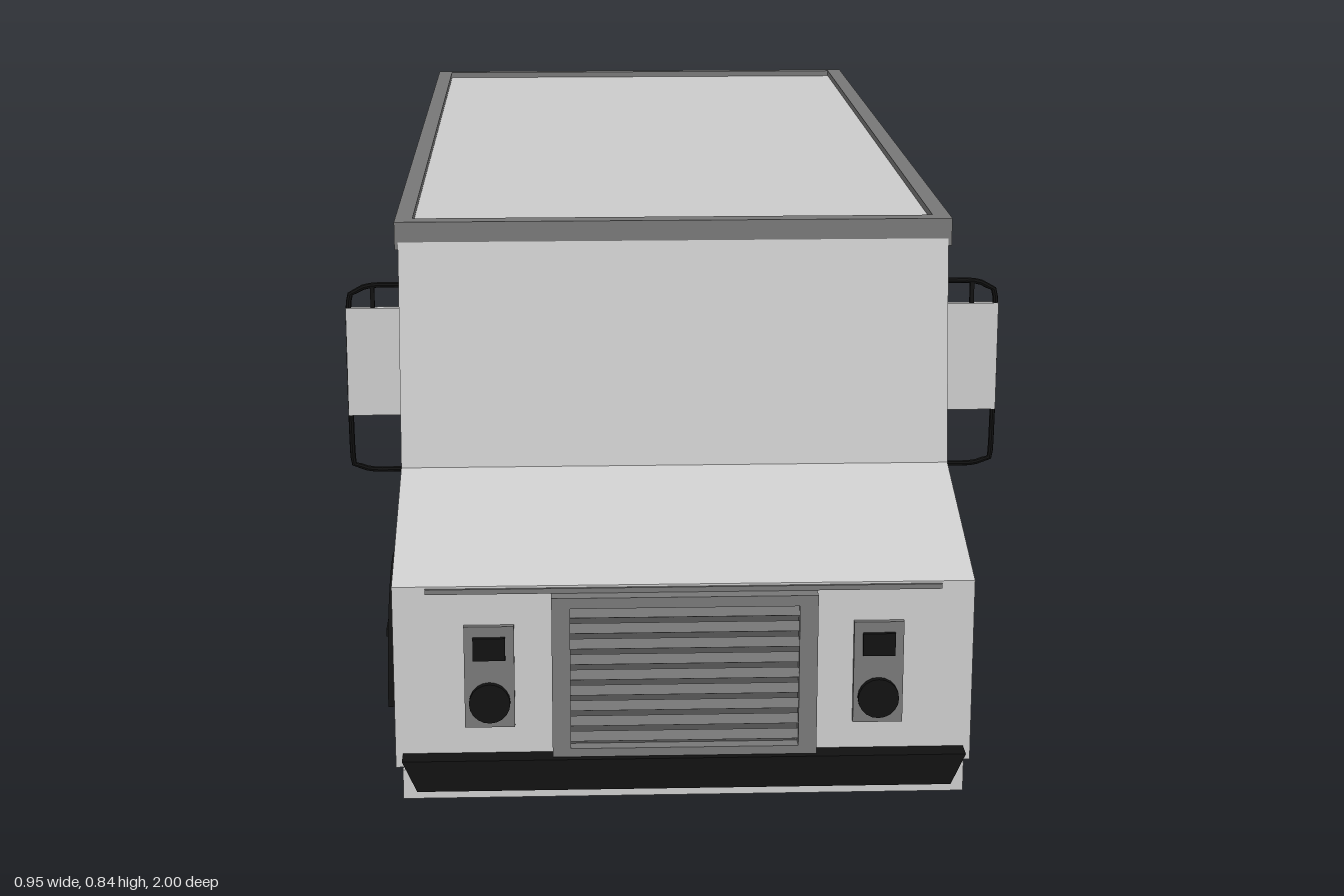
import * as THREE from 'three';

const mat = (color) => new THREE.MeshStandardMaterial({ color, flatShading: true, side: THREE.DoubleSide });
const LIGHT = mat(0xcccccc), MID = mat(0x777777), DOOR = mat(0x888888), DARK = mat(0x555555), BLACK = mat(0x111111);
const AXLES = { front: 0.56, rear: -0.625 };
const WHEEL_Y = 0.137;

export function createModel() {
  const root = new THREE.Group();

  const add = (name, geo, material, parent = root) => {
    const mesh = new THREE.Mesh(geo, material);
    mesh.name = name;
    parent.add(mesh);
    return mesh;
  };
  // box given by its limits on each axis
  const box = (name, x0, x1, y0, y1, z0, z1, material, parent) => {
    const geo = new THREE.BoxGeometry(x1 - x0, y1 - y0, z1 - z0);
    geo.translate((x0 + x1) / 2, (y0 + y1) / 2, (z0 + z1) / 2);
    return add(name, geo, material, parent);
  };
  // side profile (z, y) extruded from x0 to x1
  const sideExtrude = (name, shape, x0, x1, material) => {
    const geo = new THREE.ExtrudeGeometry(shape, { depth: x1 - x0, bevelEnabled: false, curveSegments: 20 });
    geo.rotateY(-Math.PI / 2).translate(x1, 0, 0);
    return add(name, geo, material);
  };
  const tube = (name, pts, r, material, tension = 0.1) => {
    const curve = new THREE.CatmullRomCurve3(pts.map((p) => new THREE.Vector3(...p)), false, 'catmullrom', tension);
    return add(name, new THREE.TubeGeometry(curve, 40, r, 8), material);
  };
  // cylinder lying along x
  const xCylinder = (name, r, x0, x1, sides, material, parent = root) => {
    const geo = new THREE.CylinderGeometry(r, r, Math.abs(x1 - x0), sides);
    geo.rotateZ(Math.PI / 2).translate((x0 + x1) / 2, 0, 0);
    return add(name, geo, material, parent);
  };

  // Body: plain centre section, side sections with wheel wells
  const bodyShape = (wells) => {
    const s = new THREE.Shape();
    s.moveTo(0.97, 0.15);
    s.lineTo(0.97, 0.41);
    s.lineTo(0.69, 0.495);
    s.lineTo(0.637, 0.835);
    s.lineTo(-0.925, 0.835);
    s.lineTo(-0.925, 0.15);
    if (wells) for (const z of [AXLES.rear, AXLES.front]) {
      s.lineTo(z - 0.155, 0.15);
      s.absarc(z, 0.15, 0.155, Math.PI, 0, true);
    }
    s.closePath();
    return s;
  };
  sideExtrude('bodyCentre', bodyShape(false), -0.265, 0.265, LIGHT);
  sideExtrude('bodyLeft', bodyShape(true), 0.265, 0.395, LIGHT);
  sideExtrude('bodyRight', bodyShape(true), -0.395, -0.265, LIGHT);

  // Roof rim around the recessed roof panel
  const rim = new THREE.Shape([[-0.4, -0.64], [0.4, -0.64], [0.4, 0.918], [-0.4, 0.918]].map((p) => new THREE.Vector2(...p)));
  rim.holes.push(new THREE.Path([[-0.375, -0.612], [-0.375, 0.9], [0.375, 0.9], [0.375, -0.612]].map((p) => new THREE.Vector2(...p))));
  const rimGeo = new THREE.ExtrudeGeometry(rim, { depth: 0.04, bevelEnabled: false });
  rimGeo.rotateX(-Math.PI / 2).translate(0, 0.805, 0);
  add('roofRim', rimGeo, MID);

  // Grille
  box('grilleBack', -0.165, 0.165, 0.18, 0.39, 0.965, 0.976, DARK);
  for (const s of [-1, 1]) box('grilleSide', s * 0.1675 - 0.0125, s * 0.1675 + 0.0125, 0.175, 0.4, 0.965, 0.995, MID);
  box('grilleTop', -0.18, 0.18, 0.385, 0.4, 0.965, 0.995, MID);
  box('grilleBottom', -0.18, 0.18, 0.172, 0.184, 0.965, 0.995, MID);
  for (let i = 0; i < 9; i++) {
    const slat = box('grilleSlat', -0.155, 0.155, -0.007, 0.007, -0.004, 0.004, MID);
    slat.position.set(0, 0.198 + i * 0.0222, 0.985);
    slat.rotation.x = -0.4;
  }
  box('hoodSeam', -0.35, 0.35, 0.4, 0.407, 0.965, 0.974, MID);

  // Headlights
  for (const s of [-1, 1]) {
    const lamp = new THREE.Group();
    lamp.name = 'headlight';
    lamp.position.x = s * 0.265;
    root.add(lamp);
    box('lampPanel', -0.034, 0.034, 0.21, 0.355, 0.965, 0.978, MID, lamp);
    box('turnSignal', -0.022, 0.022, 0.308, 0.34, 0.97, 0.984, BLACK, lamp);
    const lens = new THREE.CylinderGeometry(0.028, 0.028, 0.018, 20).rotateX(Math.PI / 2).translate(0, 0.247, 0.978);
    add('lampLens', lens, BLACK, lamp);
  }

  // Front bumper: tapered black bar on a light base
  box('bumperBase', -0.385, 0.385, 0.108, 0.15, 0.935, 0.98, LIGHT);
  const bar = new THREE.Shape([[-0.385, 0.17], [-0.365, 0.126], [0.365, 0.126], [0.385, 0.17]].map((p) => new THREE.Vector2(...p)));
  const barGeo = new THREE.ExtrudeGeometry(bar, { depth: 0.06, bevelEnabled: false });
  add('frontBumper', barGeo.translate(0, 0, 0.94), BLACK);

  // Rear doors, bumper and step
  for (const s of [-1, 1]) {
    box('rearDoor', s * 0.186 - 0.174, s * 0.186 + 0.174, 0.235, 0.79, -0.929, -0.92, DOOR);
    box('stepHanger', s * 0.17 - 0.009, s * 0.17 + 0.009, 0.062, 0.18, -0.952, -0.936, BLACK);
    box('rearBumperEnd', s * 0.3 - 0.085, s * 0.3 + 0.085, 0.15, 0.19, -0.95, -0.92, BLACK);
  }
  box('rearBumper', -0.39, 0.39, 0.145, 0.205, -0.938, -0.92, BLACK);
  box('rearStep', -0.345, 0.345, 0.062, 0.085, -1, -0.94, LIGHT);

  for (const s of [-1, 1]) {
    const span = (a, b) => (s > 0 ? [a, b] : [-b, -a]);

    // Mirror panel held in a bent tube frame
    tube('mirrorFrame', [[0.385, 0.748], [0.435, 0.748], [0.458, 0.74], [0.47, 0.715], [0.47, 0.5], [0.463, 0.48], [0.44, 0.472], [0.385, 0.472]]
      .map(([x, y]) => [s * x, y, 0.615]), 0.004, BLACK, 0.4);
    box('mirrorStay', ...span(0.432, 0.438), 0.71, 0.748, 0.612, 0.618, BLACK);
    box('mirrorPanel', ...span(0.397, 0.474), 0.555, 0.715, 0.61, 0.62, LIGHT);

    // Side step on brackets
    box('sideStep', ...span(0.33, 0.448), 0.108, 0.121, 0.155, 0.335, BLACK);
    for (const z of [0.18, 0.32]) box('stepBracket', ...span(0.335, 0.36), 0.115, 0.155, z - 0.008, z + 0.008, BLACK);
    box('frontValance', ...span(0.24, 0.36), 0.125, 0.152, 0.72, 0.81, BLACK);

    for (const [axle, z] of Object.entries(AXLES)) {
      // Wheel arch trim with a flared trailing end
      const arch = new THREE.Shape();
      arch.moveTo(z + 0.175, 0.145);
      arch.absarc(z, 0.145, 0.173, 0, Math.PI * 0.94, false);
      arch.lineTo(z - 0.205, 0.147);
      arch.lineTo(z - 0.165, 0.14);
      arch.absarc(z, 0.145, 0.148, Math.PI, 0, true);
      sideExtrude('wheelArch', arch, ...span(0.385, 0.42), BLACK);

      // Wheel: light faceted barrel, black tyre with tread lugs, rim and hub
      const wheel = new THREE.Group();
      wheel.name = axle + 'Wheel';
      wheel.position.set(0, WHEEL_Y, z);
      root.add(wheel);
      const isFront = axle === 'front';
      xCylinder('barrel', 0.132, s * 0.277, s * 0.352, 10, LIGHT, wheel);
      const profile = [[0.128, -0.03], [0.136, -0.02], [0.136, 0.02], [0.128, 0.03], [0.09, 0.028], [0.085, 0.01]];
      const tyre = new THREE.LatheGeometry(profile.map((p) => new THREE.Vector2(...p)), 28);
      tyre.rotateZ(-s * Math.PI / 2).translate(s * 0.376, 0, 0);
      add('tyre', tyre, BLACK, wheel);
      for (let i = 0; i < 12; i++) for (const x of [0.29, 0.36]) {
        const a = (i / 12) * Math.PI * 2 + (x > 0.3 ? 0 : 0.26);
        const lug = add('treadLug', new THREE.SphereGeometry(0.022, 8, 6), BLACK, wheel);
        lug.scale.set(0.6, 0.35, 1);
        lug.position.set(s * x, Math.cos(a) * 0.128, Math.sin(a) * 0.128);
        lug.rotation.x = a;
      }
      xCylinder('rim', isFront ? 0.108 : 0.088, s * 0.35, s * (isFront ? 0.406 : 0.392), 28, LIGHT, wheel);
      if (isFront && s < 0) {
        xCylinder('wheelCover', 0.135, -0.4, -0.41, 28, LIGHT, wheel);
      } else if (isFront) {
        const edge = new THREE.TorusGeometry(0.13, 0.005, 6, 32).rotateY(Math.PI / 2).translate(0.404, 0, 0);
        add('tyreEdge', edge, LIGHT, wheel);
        xCylinder('hubPlate', 0.055, 0.4, 0.409, 20, DOOR, wheel);
        xCylinder('hubRing', 0.036, 0.4, 0.412, 20, LIGHT, wheel);
        xCylinder('hubCap', 0.02, 0.4, 0.416, 16, DOOR, wheel);
      } else {
        const ring = new THREE.TorusGeometry(0.085, 0.006, 6, 28).rotateY(Math.PI / 2).translate(s * 0.394, 0, 0);
        add('rimRing', ring, DOOR, wheel);
      }
    }

    // Chassis rails and leaf springs
    box('chassisRail', ...span(0.16, 0.2), 0.138, 0.152, -0.45, 0.02, BLACK);
    for (const z of Object.values(AXLES)) {
      tube('leafSpring', [[s * 0.24, 0.14, z - 0.2], [s * 0.24, 0.11, z], [s * 0.24, 0.14, z + 0.2]], 0.012, BLACK, 0.5);
    }
  }

  // Underside: axles, differential, drive shaft, engine sump
  for (const [axle, z] of Object.entries(AXLES)) {
    xCylinder(axle + 'Axle', 0.018, -0.29, 0.29, 10, BLACK).position.set(0, 0.125, z);
  }
  const diff = add('differential', new THREE.SphereGeometry(0.042, 12, 8), BLACK);
  diff.position.set(0, 0.125, AXLES.rear);
  const shaft = new THREE.CylinderGeometry(0.012, 0.022, 0.16, 10).rotateX(Math.PI / 2).translate(0, 0.127, -0.52);
  add('driveShaft', shaft, BLACK);
  box('engineSump', -0.11, 0.13, 0.1, 0.152, 0.5, 0.74, BLACK);

  // Fuel tank
  box('fuelTank', 0.22, 0.34, 0.09, 0.152, -0.03, 0.2, MID);
  box('fuelTankFront', 0.235, 0.325, 0.1, 0.15, 0.2, 0.26, DARK);

  // Exhaust: pipe, muffler, tailpipe
  tube('exhaustPipe', [[0.07, 0.11, 0.5], [0.07, 0.088, 0.43], [0.05, 0.086, 0.38], [-0.09, 0.086, 0.34], [-0.12, 0.085, 0.3], [-0.12, 0.083, 0.2]], 0.011, DOOR, 0.4);
  add('muffler', new THREE.CylinderGeometry(0.034, 0.034, 0.21, 16).rotateX(Math.PI / 2).translate(-0.12, 0.083, 0.125), DOOR);
  tube('tailpipe', [[-0.12, 0.085, 0.04], [-0.125, 0.086, -0.02], [-0.16, 0.088, -0.05], [-0.25, 0.088, -0.05]], 0.011, DOOR, 0.4);

  return root;
}
